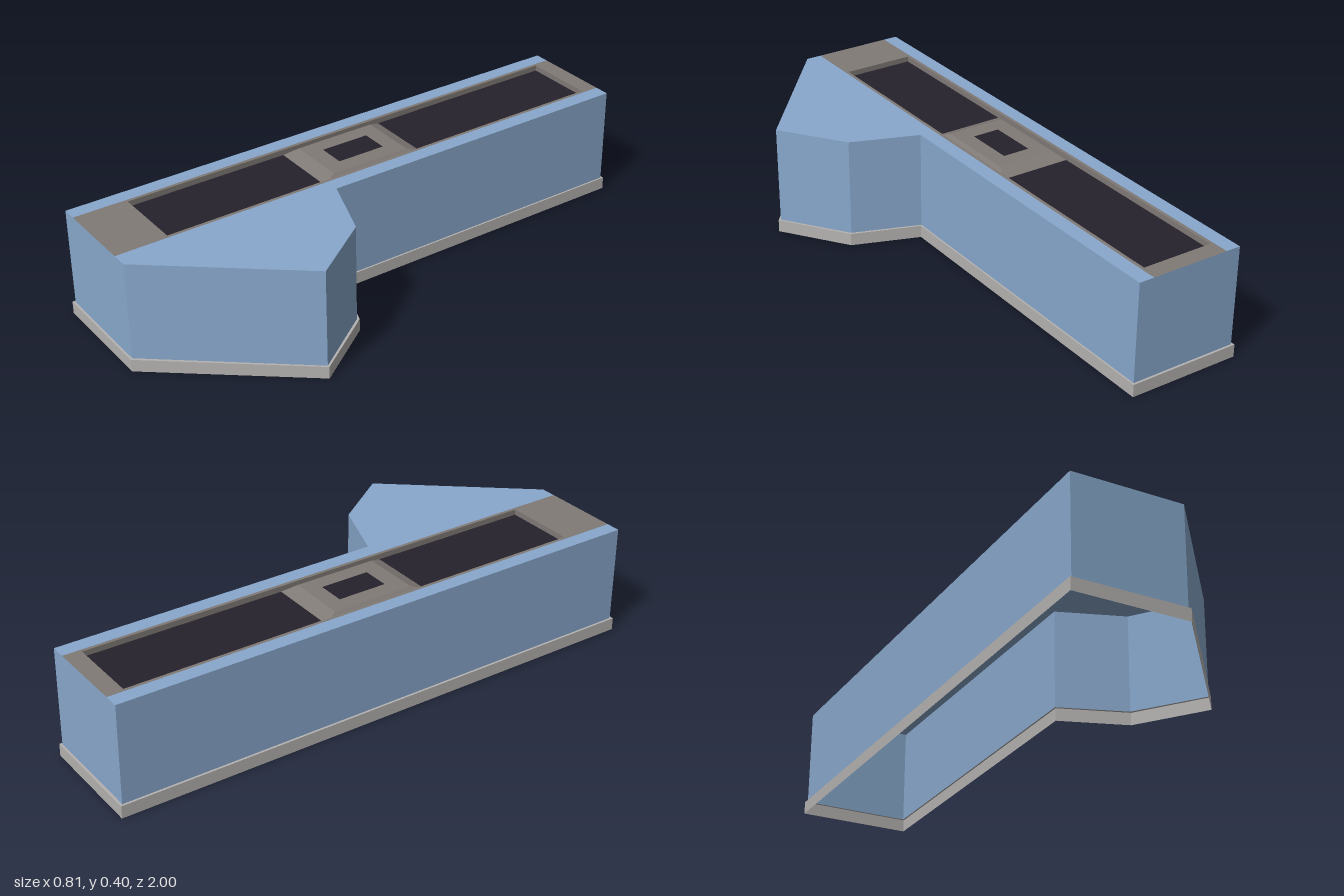
import * as THREE from 'three';

const mat = (color) => new THREE.MeshStandardMaterial({ color, flatShading: true, side: THREE.DoubleSide });

// Outlines as [x, z], running anticlockwise seen from below
const rect = (x0, x1, z0, z1) => [[x0, z0], [x1, z0], [x1, z1], [x0, z1]];
const bandRing = [[-0.403, -1], [0.003, -1], [0.003, 0.194], [0.24, 0.28], [0.403, 0.51], [0.004, 1], [-0.403, 1]];
const wallRing = [[-0.395, -0.992], [-0.003, -0.992], [-0.003, 0.2], [0.234, 0.287], [0.394, 0.51], [-0.001, 0.992], [-0.395, 0.992]];

// Strip of flat quads joining pairs of equal-length rings: [[ring, y], ...]
function loft(levels) {
  const pos = [];
  for (let l = 0; l < levels.length - 1; l++) {
    const [ra, ya] = levels[l], [rb, yb] = levels[l + 1];
    ra.forEach((_, i) => {
      const j = (i + 1) % ra.length;
      const p = [ra[i][0], ya, ra[i][1]], q = [rb[i][0], yb, rb[i][1]];
      const r = [rb[j][0], yb, rb[j][1]], s = [ra[j][0], ya, ra[j][1]];
      pos.push(...p, ...q, ...r, ...p, ...r, ...s);
    });
  }
  const g = new THREE.BufferGeometry();
  g.setAttribute('position', new THREE.Float32BufferAttribute(pos, 3));
  g.computeVertexNormals();
  return g;
}

// Horizontal sheet facing up, optionally with a hole
function sheet(ring, y, hole) {
  const points = (r) => r.map(([x, z]) => new THREE.Vector2(x, -z));
  const shape = new THREE.Shape(points(ring));
  if (hole) shape.holes.push(new THREE.Path(points(hole)));
  return new THREE.ShapeGeometry(shape).rotateX(-Math.PI / 2).translate(0, y, 0);
}

export function createModel() {
  const model = new THREE.Group();
  const blue = mat(0x88a8cc), stone = mat(0xb5b3b1), taupe = mat(0x807a76), dark = mat(0x26222c);
  const add = (name, geometry, material) => {
    const mesh = new THREE.Mesh(geometry, material);
    mesh.name = name;
    model.add(mesh);
  };
  const top = 0.399, floor = 0.379, bandTop = 0.045;

  // Hollow plinth with a narrow ledge, and the walls standing on it
  add('plinthBand', loft([[bandRing, 0], [bandRing, bandTop], [wallRing, bandTop]]), stone);
  add('walls', loft([[wallRing, bandTop], [wallRing, top]]), blue);

  // Roof edges either side of the central deck
  add('roofEdgeRight', sheet(rect(-0.395, -0.342, -0.992, 0.992), top), blue);
  add('roofEdgeLeft', sheet([[-0.058, -0.992], ...wallRing.slice(1, 6), [-0.058, 0.992]], top), blue);

  // Deck with a long shallow recess and its dark floor
  const recess = rect(-0.33, -0.07, -0.93, 0.8);
  add('deck', sheet(rect(-0.342, -0.058, -0.992, 0.992), top, recess), taupe);
  add('recessSides', loft([[recess, floor], [recess, top]]), taupe);
  add('recessFloor', sheet(recess, floor), dark);

  // Sloped central block with a small dark hatch
  const crown = rect(-0.307, -0.093, -0.15, 0.15);
  const hatch = rect(-0.25, -0.15, -0.092, 0.088);
  add('blockSlopes', loft([[rect(-0.33, -0.07, -0.2, 0.2), floor], [crown, top]]), taupe);
  add('blockTop', sheet(crown, top, hatch), taupe);
  add('hatch', sheet(hatch, top - 0.002), dark);

  return model;
}
